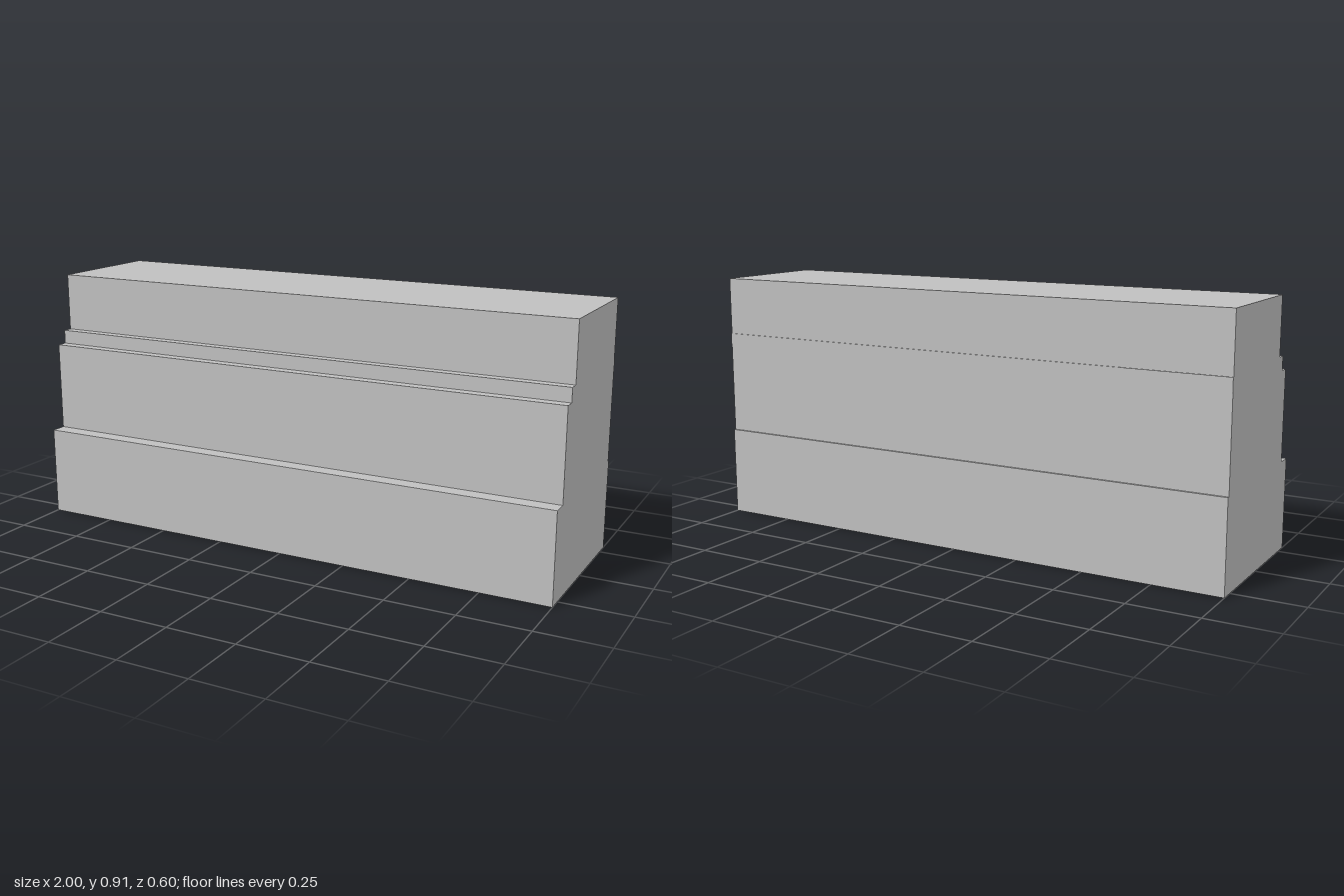
import * as THREE from 'three';

export function createModel() {
  const model = new THREE.Group();
  model.name = 'steppedBlock';
  const grey = new THREE.MeshStandardMaterial({ color: 0xbfbfbf });
  grey.name = 'plain grey';

  // Side profile as (z, y), stepped at the front with shallow steps at the back
  const profile = [
    [0.3, 0], [0.3, 0.325], [0.243, 0.325], [0.243, 0.65],
    [0.205, 0.65], [0.205, 0.7], [0.17, 0.7], [0.17, 0.91],
    [-0.29, 0.91], [-0.29, 0.7], [-0.294, 0.7], [-0.294, 0.65],
    [-0.292, 0.65], [-0.292, 0.325], [-0.3, 0.325], [-0.3, 0],
  ];
  const shape = new THREE.Shape(profile.map(([z, y]) => new THREE.Vector2(-z, y)));

  // Extrude along the length, then turn so that the steps face +z
  const geometry = new THREE.ExtrudeGeometry(shape, { depth: 2, bevelEnabled: false });
  geometry.translate(0, 0, -1);
  geometry.rotateY(Math.PI / 2);

  const body = new THREE.Mesh(geometry, grey);
  body.name = 'steppedBody';
  model.add(body);
  return model;
}
